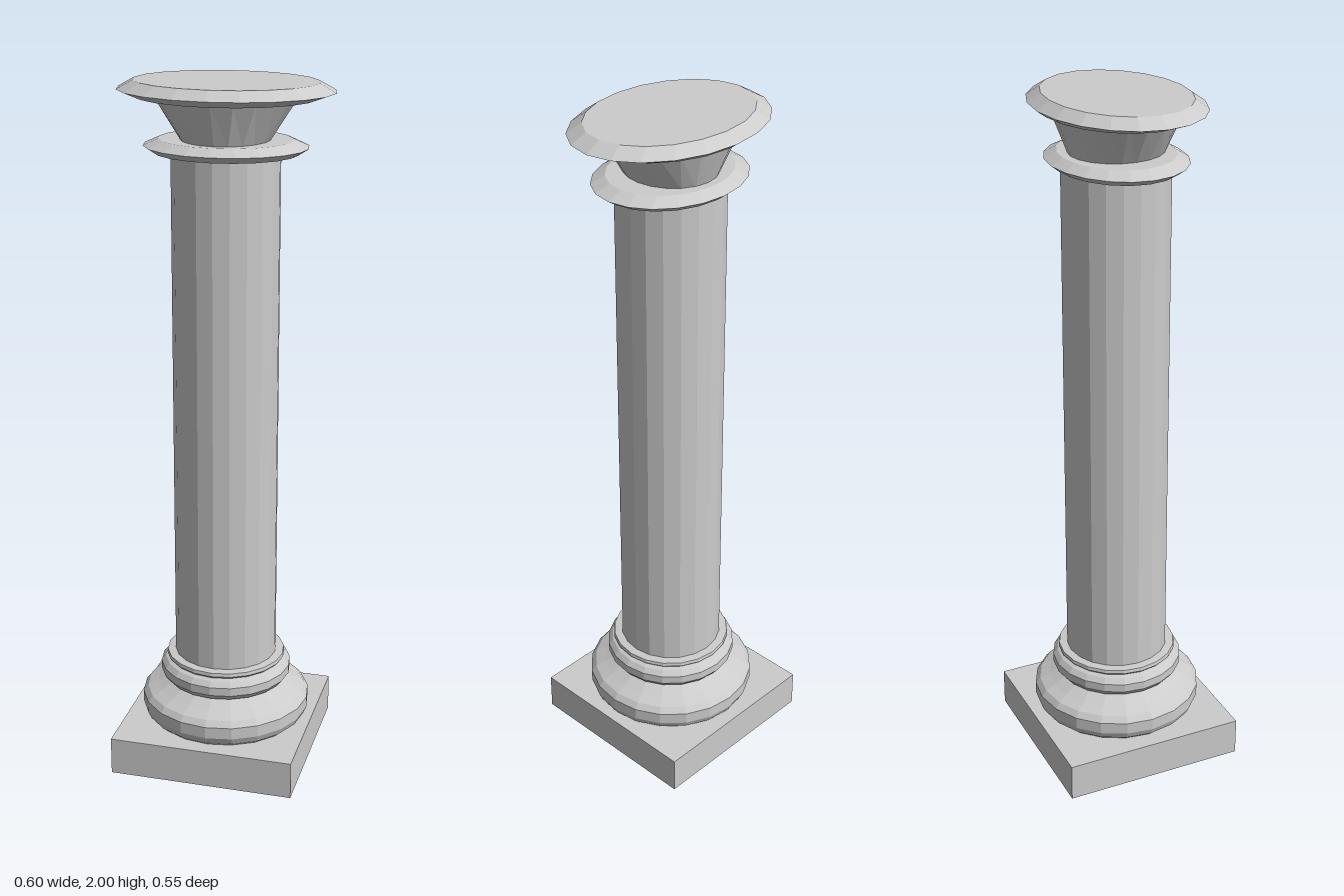
import * as THREE from 'three';

const SIDES = 20;
const material = new THREE.MeshStandardMaterial({ color: 0xcccccc, flatShading: true });

// Turned solid from rows of [radius in x, radius in z, y], listed bottom to top
function turned(name, rows) {
  const geo = new THREE.LatheGeometry(rows.map(([rx, , y]) => new THREE.Vector2(rx, y)), SIDES);
  const pos = geo.attributes.position;
  for (let i = 0; i < pos.count; i++) {
    const [rx, rz] = rows[i % rows.length];
    if (rx > 0) pos.setZ(i, pos.getZ(i) * rz / rx);
  }
  geo.computeVertexNormals();
  const mesh = new THREE.Mesh(geo, material);
  mesh.name = name;
  return mesh;
}

const round = (r, y) => [r, r, y];

export function createModel() {
  const group = new THREE.Group();
  group.name = 'column';

  // Square plinth, turned very slightly
  const plinth = new THREE.Mesh(new THREE.BoxGeometry(0.542, 0.112, 0.542), material);
  plinth.name = 'plinth';
  plinth.position.set(-0.007, 0.056, 0);
  plinth.rotation.y = -0.013;
  group.add(plinth);

  // Base: large and small rounded mouldings with a collar
  group.add(turned('base', [
    round(0, 0.112), round(0.225, 0.112), round(0.24, 0.125), round(0.249, 0.145),
    round(0.249, 0.18), round(0.235, 0.197), round(0.205, 0.212), round(0.165, 0.235),
    round(0.18, 0.238), round(0.193, 0.255), round(0.193, 0.28), round(0.18, 0.295),
    round(0.168, 0.3), round(0.176, 0.308), round(0.174, 0.318), round(0.15, 0.32),
  ]));

  // Straight shaft
  group.add(turned('shaft', [round(0.15, 0.3), round(0.15, 1.82)]));

  // Oval ring below the capital
  group.add(turned('neckRing', [
    [0, 0, 1.808], [0.2, 0.165, 1.808], [0.228, 0.188, 1.826], [0.185, 0.155, 1.845], [0, 0, 1.845],
  ]));

  // Flaring oval capital with a bevelled lip
  group.add(turned('capital', [
    [0.12, 0.13, 1.84], [0.195, 0.172, 1.957], [0.25, 0.2, 1.957],
    [0.3, 0.225, 1.975], [0.255, 0.19, 2], [0, 0, 2],
  ]));

  return group;
}
